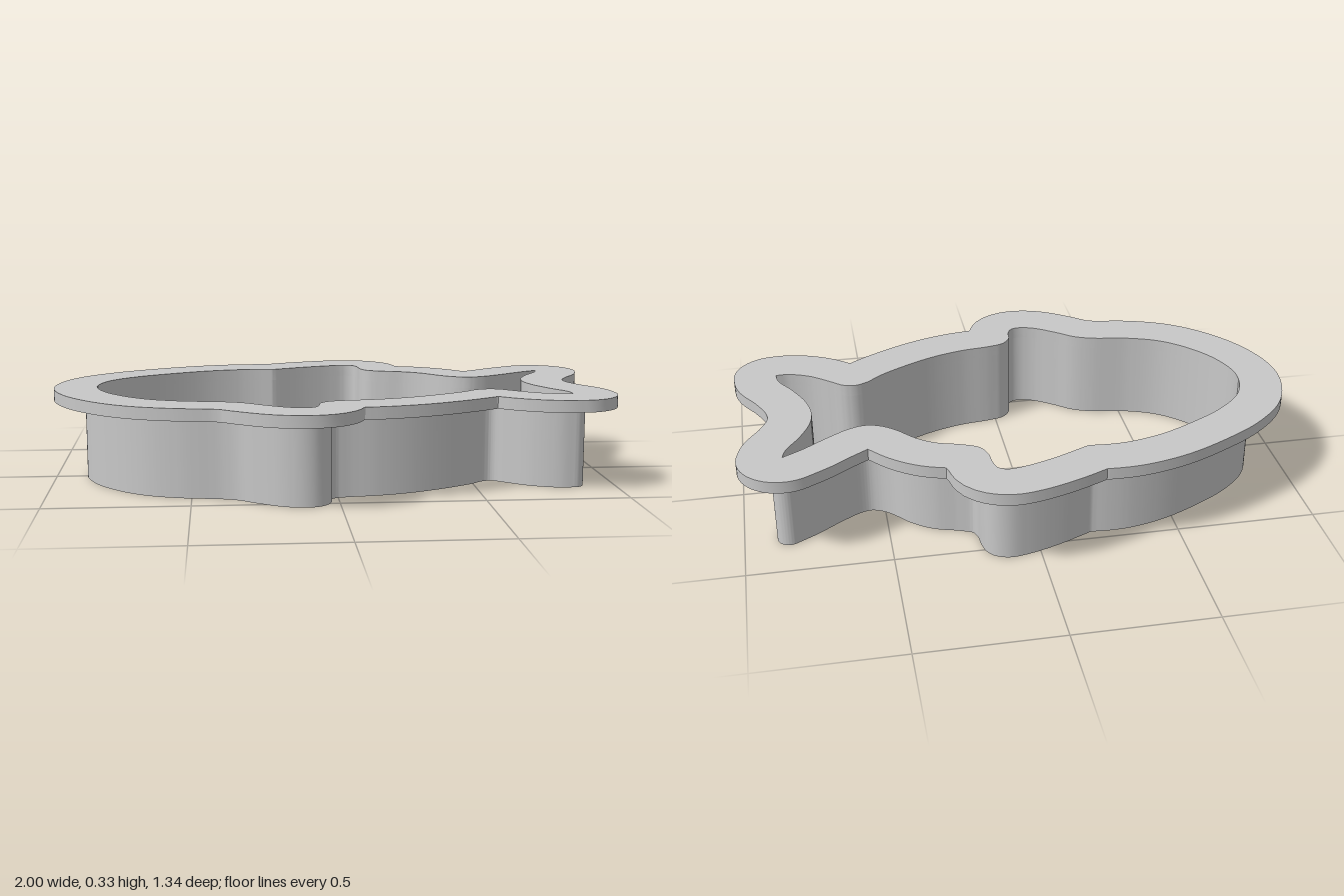
import * as THREE from 'three';
import { toCreasedNormals } from 'three/addons/utils/BufferGeometryUtils.js';

// Inner outline in hundredths, clockwise, as smooth runs between sharp corners
const RUNS = [
  // upper tail tip, tail notch, lower tail tip
  [84.4, 30.7, 83.2, 26.5, 78, 18.4, 74.1, 9.9, 73, 2.4, 74.6, -6.1, 79.1, -15.8, 83.8, -23.6, 84.5, -28],
  // lower tail, belly fin, nose, back
  [84.5, -28.2, 80, -28.2, 72.4, -25.4, 65.2, -20, 60.2, -16, 56.2, -15.2, 51.8, -16.8, 46.2, -21.3, 35, -27.8,
    24.3, -32.6, 13.6, -35.6, 1.9, -37.2, -3.3, -38.8, -6.3, -42.5, -7, -47.3, -8.6, -50.2, -11.8, -51.1,
    -17.4, -49.7, -25.5, -44.4, -31.7, -39.6, -38, -37, -53.2, -34, -63.9, -29.7, -73, -22.2,
    -81, -11, -84.6, 1.9, -81, 15.2, -71.9, 24.7, -59.1, 32.5, -45.2, 38.8, -33.4, 41.7, -26.5, 42.1, -18.8, 41.6],
  // back fin and upper tail
  [-18.8, 41.6, -5, 47.6, 5.6, 50.9, 11, 51.5, 14, 50, 15.2, 46.3, 15.8, 40.7, 18.2, 36, 24.4, 33,
    32.4, 30.4, 38.4, 26.4, 45.3, 19, 50.2, 15.6, 55.2, 14.4, 60.6, 15.8, 68.4, 20.4, 77, 26.4, 84.4, 30.7],
];

function innerOutline() {
  const out = [];
  for (const run of RUNS) {
    const pts = [];
    for (let i = 0; i < run.length; i += 2) pts.push(new THREE.Vector3(run[i] / 100, run[i + 1] / 100, 0));
    const curve = new THREE.CatmullRomCurve3(pts);
    curve.arcLengthDivisions = 1000;
    const spaced = curve.getSpacedPoints(Math.round(curve.getLength() / 0.008));
    spaced.pop(); // the next run starts here
    for (const p of spaced) out.push(new THREE.Vector2(p.x, p.y));
  }
  return out;
}

// Parallel outline at distance d, with round convex corners and trimmed hollows
function offsetOutline(pts, d) {
  const n = pts.length, out = [];
  const limit = (d - 2e-4) ** 2;
  const add = (p, a) => {
    const q = new THREE.Vector2(p.x + d * Math.cos(a), p.y + d * Math.sin(a));
    if (pts.every((o) => o.distanceToSquared(q) > limit)) out.push(q);
  };
  for (let i = 0; i < n; i++) {
    const p = pts[i], a = pts[(i + n - 1) % n], b = pts[(i + 1) % n];
    const a0 = Math.atan2(p.y - a.y, p.x - a.x) + Math.PI / 2;
    const a1 = Math.atan2(b.y - p.y, b.x - p.x) + Math.PI / 2;
    const turn = Math.atan2(Math.sin(a1 - a0), Math.cos(a1 - a0));
    if (turn < -0.3) {
      const steps = Math.ceil(-turn / 0.12);
      for (let k = 0; k <= steps; k++) add(p, a0 + (turn * k) / steps);
    } else add(p, a0 + turn / 2);
  }
  return out;
}

// Upright ring between two outlines; the hole runs the other way so its wall faces inward
function ring(outer, inner, y0, y1, name, material) {
  const shape = new THREE.Shape(outer);
  shape.holes.push(new THREE.Path([...inner].reverse()));
  let geo = new THREE.ExtrudeGeometry(shape, { depth: y1 - y0, bevelEnabled: false });
  geo.rotateX(-Math.PI / 2);
  geo.translate(0, y0, 0);
  geo = toCreasedNormals(geo, 0.5);
  const mesh = new THREE.Mesh(geo, material);
  mesh.name = name;
  return mesh;
}

export function createModel() {
  const grey = new THREE.MeshStandardMaterial({ color: 0xc8c8c8 });
  grey.name = 'grey plastic';

  const inner = innerOutline();
  const group = new THREE.Group();
  group.name = 'fishCutter';
  group.add(
    ring(offsetOutline(inner, 0.043), inner, 0, 0.287, 'cuttingWall', grey),
    ring(offsetOutline(inner, 0.155), inner, 0.287, 0.33, 'topFlange', grey),
  );
  return group;
}
